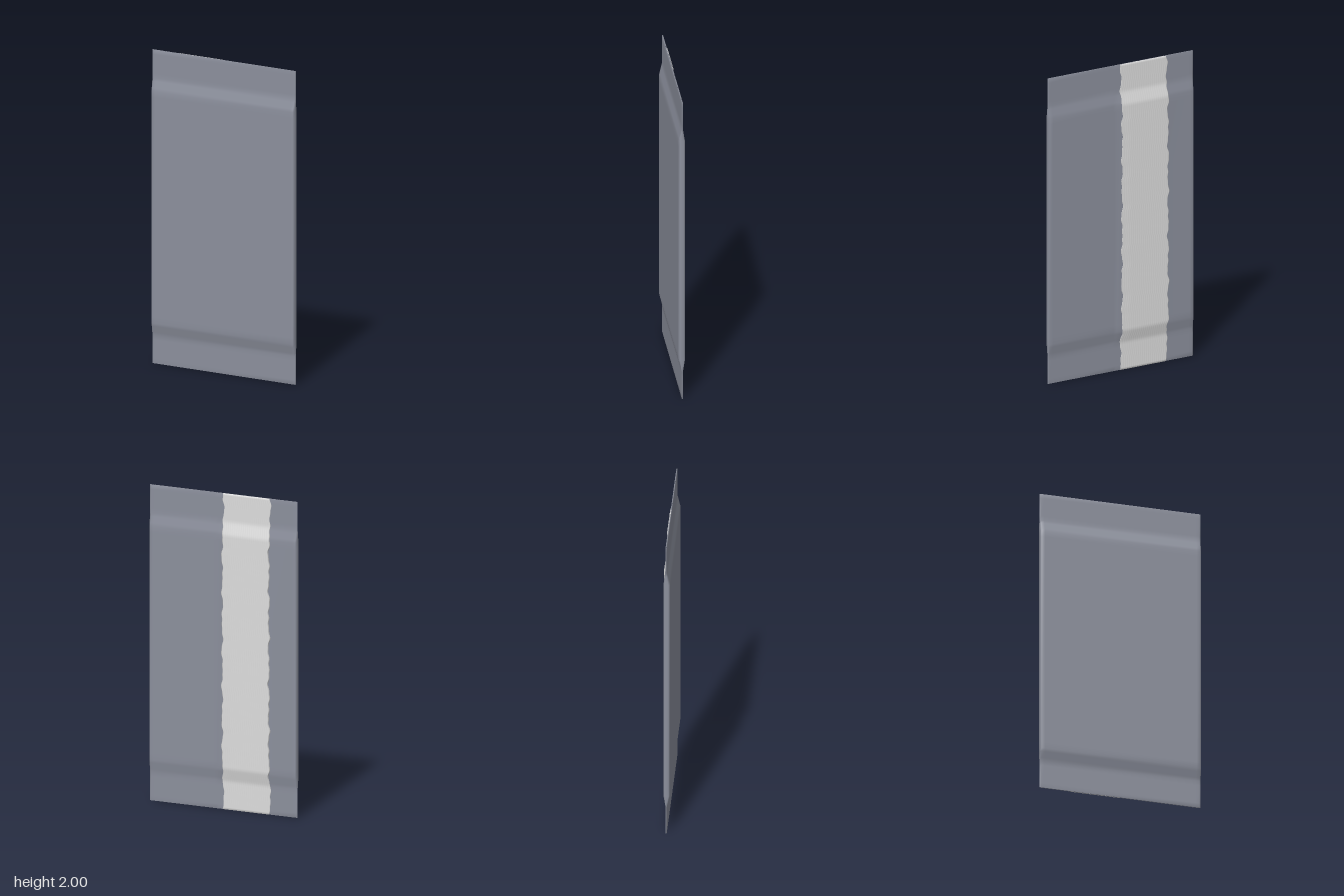
import * as THREE from 'three';

// Skin a closed surface through rings of [x, y, z] points, stacked upwards.
function loft(rings) {
  const n = rings[0].length, index = [];
  for (let i = 0; i < rings.length - 1; i++) {
    for (let j = 0; j < n; j++) {
      const a = i * n + j, b = i * n + (j + 1) % n;
      index.push(a, b, b + n, a, b + n, a + n);
    }
  }
  const geometry = new THREE.BufferGeometry();
  geometry.setAttribute('position', new THREE.Float32BufferAttribute(rings.flat(2), 3));
  geometry.setIndex(index);
  geometry.computeVertexNormals();
  return geometry;
}

// How far the packet is filled at height y: 0 in the flat ends, 1 in the middle.
const fill = (y) => THREE.MathUtils.clamp((1 - Math.abs(y - 1) - 0.18) / 0.08, 0, 1);
const frontZ = (y) => 0.004 + 0.019 * fill(y);
const backZ = (y) => -0.004 - 0.013 * fill(y);

// Packet cross-section: rounded sides and a small fold along the back seam.
function bodyRing(y, closed) {
  const k = closed ? 0.02 : 1, f = frontZ(y) * k, b = backZ(y) * k;
  const fold = b - 0.005 * fill(y) * k;
  return [
    [-0.52, f * 0.6], [-0.512, f], [-0.49, f], [0.49, f], [0.512, f], [0.52, f * 0.6],
    [0.52, b * 0.6], [0.512, b], [0.49, b], [0.06, b], [0.035, b], [0.005, fold],
    [-0.02, fold], [-0.06, b], [-0.49, b], [-0.512, b], [-0.52, b * 0.6],
  ].map(([x, z]) => [x, y, z]);
}

// Uneven waviness of the strip's two edges.
const wave = (y, s) => 0.004 * Math.sin(y * 31 + s) + 0.003 * Math.sin(y * 53 + 2 * s)
  + 0.002 * Math.sin(y * 97 + 3 * s);

// Strip cross-section: flat underside, finely ribbed outside, thinner near x = 0.
function stripRing(y, closed) {
  const ribs = 22, steps = ribs * 4;
  const left = -0.33 + wave(y, 1), right = wave(y, 2.3);
  const k = closed ? 0.02 : 1, base = backZ(y) * k;
  const ring = [[left, y, base * 0.6], [right, y, base * 0.6]];
  for (let i = steps; i >= 0; i--) {
    const t = i / steps;
    const taper = 1 - 0.25 * THREE.MathUtils.smoothstep(t, 0.8, 1);
    const depth = (0.003 + 0.0055 * fill(y)) * taper + 0.0003 * Math.cos(t * ribs * Math.PI * 2);
    ring.push([left + (right - left) * t, y, base - depth * k]);
  }
  return ring;
}

export function createModel() {
  const foil = new THREE.MeshStandardMaterial({ color: 0x8c909d });
  foil.name = 'greyFoil';
  const pale = new THREE.MeshStandardMaterial({ color: 0xdedede });
  pale.name = 'paleStrip';

  const group = new THREE.Group();
  group.name = 'packet';
  const add = (name, geometry, material) => {
    const mesh = new THREE.Mesh(geometry, material);
    mesh.name = name;
    group.add(mesh);
  };

  // Flat-ended packet, with extra rows around each bend.
  const lower = [0, 0.03, 0.15, 0.18, 0.2, 0.24, 0.26, 0.3];
  const heights = [...lower, ...lower.map((y) => 2 - y).reverse()];
  add('packetBody', loft([
    bodyRing(0, true), ...heights.map((y) => bodyRing(y)), bodyRing(2, true),
  ]), foil);

  // Ribbed seam strip along the whole back.
  const rows = 160;
  const stripRings = [stripRing(0, true)];
  for (let i = 0; i <= rows; i++) stripRings.push(stripRing(2 * i / rows));
  stripRings.push(stripRing(2, true));
  add('backSeamStrip', loft(stripRings), pale);

  return group;
}
